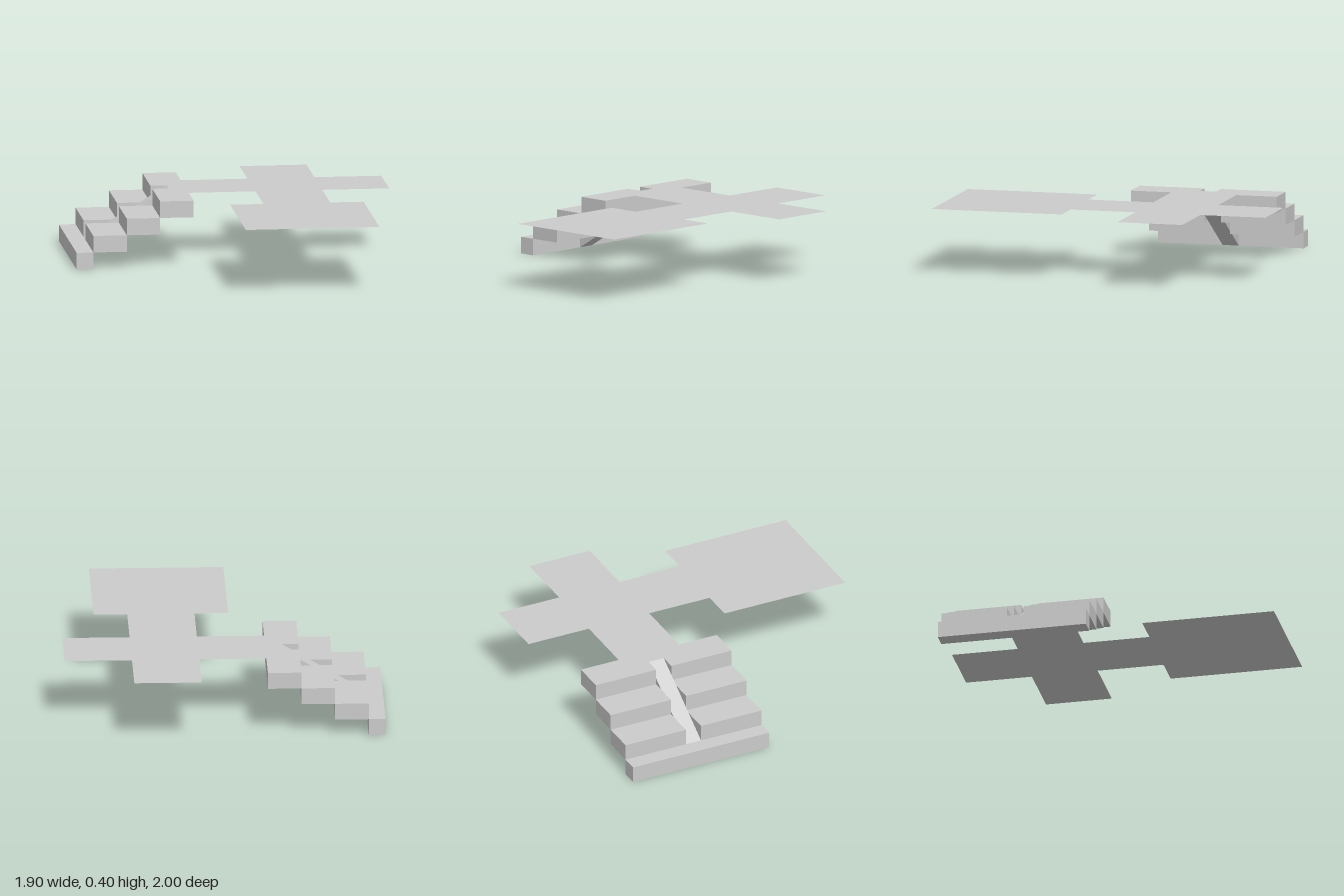
import * as THREE from 'three';

const material = new THREE.MeshStandardMaterial({ color: 0xcccccc, flatShading: true });
const thin = new THREE.MeshStandardMaterial({ color: 0xcccccc, flatShading: true, side: THREE.DoubleSide });

const shapeOf = (points) => new THREE.Shape(points.map(([x, y]) => new THREE.Vector2(x, y)));

function addMesh(group, name, geometry, mat = material) {
  const mesh = new THREE.Mesh(geometry, mat);
  mesh.name = name;
  group.add(mesh);
  return mesh;
}

// Box given by its limits on each axis
function addBlock(group, name, [x0, x1], [y0, y1], [z0, z1]) {
  const mesh = addMesh(group, name, new THREE.BoxGeometry(x1 - x0, y1 - y0, z1 - z0));
  mesh.position.set((x0 + x1) / 2, (y0 + y1) / 2, (z0 + z1) / 2);
}

export function createModel() {
  const model = new THREE.Group();
  model.name = 'platformWithStairs';

  const back = -0.85, front = 0.05;            // stair width along z
  const slotBack = -0.45, slotFront = -0.35;   // slot that holds the ramp

  // Stairs climbing towards +x
  const stairs = new THREE.Group();
  stairs.name = 'stairs';
  model.add(stairs);
  addBlock(stairs, 'bottomStep', [-0.95, -0.85], [0, 0.1], [back, front]);

  // Middle steps, split by the slot
  for (let i = 0; i < 2; i++) {
    const xs = [-0.85 + 0.2 * i, -0.65 + 0.2 * i];
    const ys = [0.1 + 0.1 * i, 0.2 + 0.1 * i];
    addBlock(stairs, 'middleStepBack', xs, ys, [back, slotBack]);
    addBlock(stairs, 'middleStepFront', xs, ys, [slotFront, front]);
  }

  // Top step, notched by the slot; plan drawn as (x, -z)
  const topPlan = shapeOf([
    [-0.45, -front], [-0.25, -front], [-0.25, -back], [-0.45, -back],
    [-0.45, -slotBack], [-0.35, -slotBack], [-0.35, -slotFront], [-0.45, -slotFront],
  ]);
  const topStep = new THREE.ExtrudeGeometry(topPlan, { depth: 0.1, bevelEnabled: false });
  topStep.rotateX(-Math.PI / 2).translate(0, 0.3, 0);
  addMesh(stairs, 'topStep', topStep);

  // Sloping ramp in the slot
  const rampSide = shapeOf([[-0.85, 0], [-0.35, 0.3], [-0.35, 0.4], [-0.85, 0.1]]);
  const ramp = new THREE.ExtrudeGeometry(rampSide, { depth: slotFront - slotBack, bevelEnabled: false });
  ramp.translate(0, 0, slotBack);
  addMesh(stairs, 'ramp', ramp);

  // Thin floor level with the top step: crossing paths and a square landing
  const floorPlan = shapeOf([
    [-0.25, 0.2], [0.15, 0.2], [0.15, -0.2], [-0.05, -0.2], [-0.05, -1], [0.75, -1],
    [0.75, -0.2], [0.55, -0.2], [0.55, 0.2], [0.95, 0.2], [0.95, 0.6], [0.55, 0.6],
    [0.55, 1], [0.15, 1], [0.15, 0.6], [-0.25, 0.6],
  ]);
  const floor = new THREE.ShapeGeometry(floorPlan);
  floor.rotateX(-Math.PI / 2).translate(0, 0.4, 0);
  addMesh(model, 'floor', floor, thin);

  return model;
}
